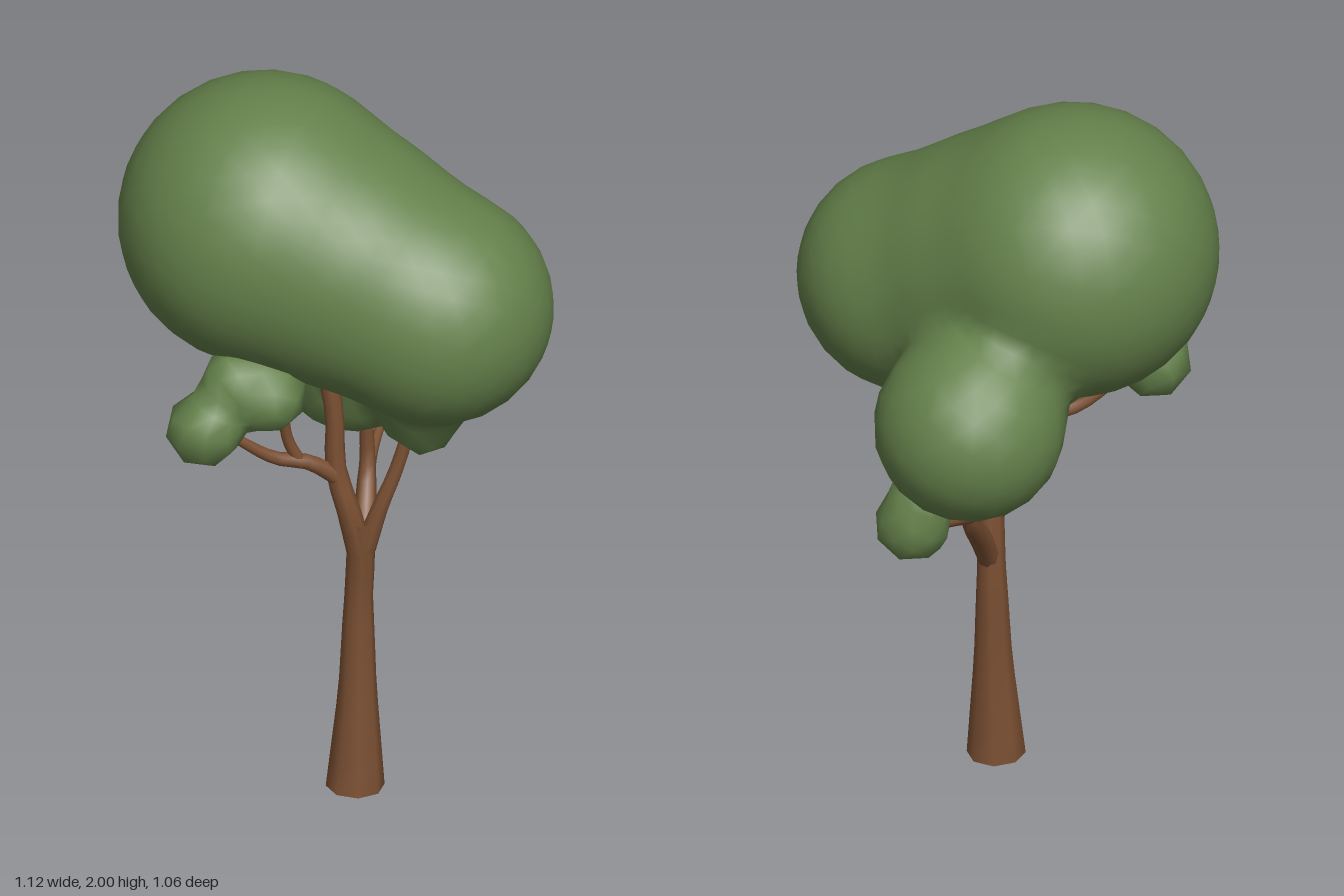
import * as THREE from 'three';
import { mergeVertices } from 'three/addons/utils/BufferGeometryUtils.js';

const leaf = new THREE.MeshStandardMaterial({ color: 0x64804a });
leaf.name = 'leafGreen';
const bark = new THREE.MeshStandardMaterial({ color: 0x7a4f32 });
bark.name = 'barkBrown';

// Distance to a smooth union of balls [x, y, z, r]
function blobDistance(p, balls, k) {
  let d = 10;
  for (const [x, y, z, r] of balls) {
    const e = Math.hypot(p.x - x, p.y - y, p.z - z) - r;
    const h = Math.max(k - Math.abs(d - e), 0) / k;
    d = Math.min(d, e) - h * h * k * 0.25;
  }
  return d;
}

// Shrink-wrap a sphere onto the blended balls, walking inward to the centre
function foliage(name, centre, balls, k, detail) {
  let geo = new THREE.IcosahedronGeometry(1, detail);
  geo.deleteAttribute('uv');
  geo.deleteAttribute('normal');
  geo = mergeVertices(geo, 1e-4);
  const c = new THREE.Vector3(...centre);
  const pos = geo.attributes.position;
  const dir = new THREE.Vector3();
  const p = new THREE.Vector3();
  for (let i = 0; i < pos.count; i++) {
    dir.fromBufferAttribute(pos, i).normalize();
    let t = 1.2;
    for (let s = 0; s < 200 && t > 0.02; s++) {
      const d = blobDistance(p.copy(c).addScaledVector(dir, t), balls, k);
      if (d < 0.001) break;
      t -= d * 0.9;
    }
    p.copy(c).addScaledVector(dir, Math.max(t, 0.02));
    pos.setXYZ(i, p.x, p.y, p.z);
  }
  geo.computeVertexNormals();
  const mesh = new THREE.Mesh(geo, leaf);
  mesh.name = name;
  return mesh;
}

// Tapered limb through points [x, y, z, radius]
function limb(name, points, steps = 10, sides = 8) {
  const curve = new THREE.CatmullRomCurve3(points.map(([x, y, z]) => new THREE.Vector3(x, y, z)));
  const geo = new THREE.TubeGeometry(curve, steps, 1, sides);
  const pos = geo.attributes.position;
  const v = new THREE.Vector3();
  for (let i = 0; i <= steps; i++) {
    const u = i / steps;
    const c = curve.getPointAt(u);
    const f = curve.getUtoTmapping(u) * (points.length - 1);
    const a = Math.min(Math.floor(f), points.length - 2);
    const r = THREE.MathUtils.lerp(points[a][3], points[a + 1][3], f - a);
    for (let j = 0; j <= sides; j++) {
      const n = i * (sides + 1) + j;
      v.fromBufferAttribute(pos, n).sub(c).multiplyScalar(r).add(c);
      pos.setXYZ(n, v.x, v.y, v.z);
    }
  }
  geo.deleteAttribute('uv');
  geo.deleteAttribute('normal');
  const smooth = mergeVertices(geo, 1e-5);
  smooth.computeVertexNormals();
  const mesh = new THREE.Mesh(smooth, bark);
  mesh.name = name;
  return mesh;
}

export function createModel() {
  const tree = new THREE.Group();
  tree.name = 'tree';

  // Trunk and its closed foot
  tree.add(limb('trunk', [
    [0.035, 0.01, 0.23, 0.077], [0.042, 0.3, 0.222, 0.05],
    [0.046, 0.58, 0.215, 0.037], [0.05, 0.7, 0.225, 0.038], [0.045, 0.81, 0.24, 0.03],
  ]));
  const foot = new THREE.Mesh(new THREE.CircleGeometry(0.076, 8), bark);
  foot.name = 'trunkFoot';
  foot.rotation.x = Math.PI / 2;
  foot.position.set(0.035, 0.012, 0.23);
  tree.add(foot);

  // Branches
  const branches = new THREE.Group();
  branches.name = 'branches';
  tree.add(branches);
  branches.add(
    limb('leftBranch', [
      [0.045, 0.72, 0.23, 0.034], [0.015, 0.85, 0.24, 0.031],
      [-0.015, 0.96, 0.225, 0.028], [-0.018, 1.12, 0.22, 0.024], [-0.05, 1.34, 0.2, 0.03],
    ]),
    limb('rightBranch', [
      [0.06, 0.72, 0.23, 0.03], [0.1, 0.85, 0.24, 0.022],
      [0.14, 0.95, 0.235, 0.019], [0.19, 1.12, 0.23, 0.017],
    ]),
    limb('sideBranch', [
      [-0.01, 0.94, 0.23, 0.026], [-0.09, 1.0, 0.25, 0.021],
      [-0.18, 1.03, 0.27, 0.018], [-0.31, 1.13, 0.3, 0.013],
    ]),
    limb('sideTwig', [
      [-0.11, 1.0, 0.255, 0.018], [-0.145, 1.08, 0.26, 0.015], [-0.16, 1.22, 0.28, 0.013],
    ]),
    limb('backBranch', [
      [0.05, 0.58, 0.22, 0.03], [0.065, 0.68, 0.15, 0.032],
      [0.085, 0.8, 0.04, 0.026], [0.09, 0.87, 0.015, 0.02], [0.085, 1.0, 0.02, 0.018],
    ]),
    limb('backTwig', [
      [0.085, 0.82, 0.03, 0.022], [0.11, 0.85, -0.05, 0.015],
      [0.15, 0.89, -0.15, 0.011], [0.2, 0.94, -0.25, 0.01],
    ]),
  );

  // Main crown: upper, front and back masses blended together
  tree.add(foliage('crown', [0.03, 1.42, 0.04], [
    [-0.18, 1.62, 0.04, 0.385],
    [0.03, 1.53, 0.13, 0.34],
    [0.245, 1.43, 0.22, 0.31],
    [0.06, 1.26, -0.28, 0.25],
    [0.06, 1.14, -0.05, 0.2],
    [0.21, 1.1, 0.22, 0.1],
  ], 0.07, 8));

  // Small tufts at the branch ends
  tree.add(foliage('sideTuft', [-0.28, 1.2, 0.3], [
    [-0.37, 1.15, 0.31, 0.1],
    [-0.2, 1.24, 0.3, 0.1],
    [-0.29, 1.28, 0.28, 0.08],
  ], 0.05, 2));
  tree.add(foliage('backTuft', [0.2, 0.98, -0.26], [
    [0.21, 0.95, -0.26, 0.1],
    [0.18, 1.06, -0.26, 0.08],
  ], 0.05, 1));

  return tree;
}
